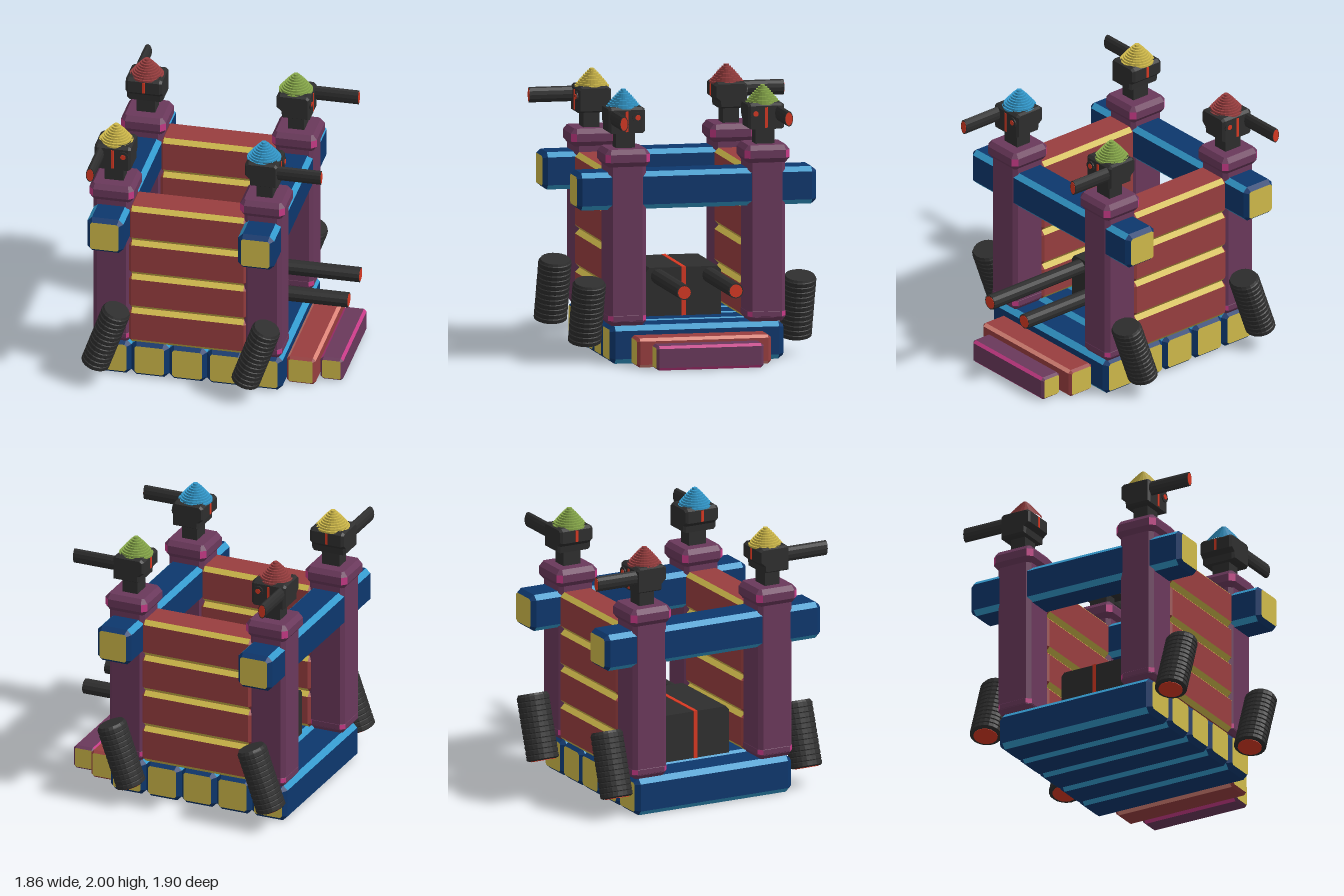
import * as THREE from 'three';

const colour = (name, hex) => {
  const m = new THREE.MeshStandardMaterial({ color: hex });
  m.name = name;
  m.flatShading = true;
  return m;
};
const yellow = colour('yellow', 0xcfb94a), brick = colour('brick red', 0x983e3f);
const navy = colour('navy blue', 0x0d376d), sky = colour('sky blue', 0x3399cc);
const purple = colour('purple', 0x6a385b), pink = colour('pink', 0xc63a86);
const black = colour('charcoal', 0x2e2e2e), red = colour('bright red', 0xd63822);
const green = colour('green', 0x87a84a), salmon = colour('salmon', 0xdc8478);

function add(parent, name, geometry, material, x = 0, y = 0, z = 0) {
  const mesh = new THREE.Mesh(geometry, material);
  mesh.name = name;
  mesh.position.set(x, y, z);
  parent.add(mesh);
  return mesh;
}

// Bevelled beam along z; material groups: 0 faces, 1 long bevels, 2 ends
function beamGeometry(width, height, length, c) {
  const ring = (z, inset) => {
    const w = width / 2 - inset, h = height / 2 - inset, k = inset ? c * 0.4 : c;
    return [[w, -h + k], [w, h - k], [w - k, h], [-w + k, h], [-w, h - k], [-w, -h + k], [-w + k, -h], [w - k, -h]]
      .map(([x, y]) => [x, y, z]);
  };
  const e = length / 2, inset = c * 0.8;
  const rings = [ring(-e, inset), ring(-e + c, 0), ring(e - c, 0), ring(e, inset)];
  const faces = [[], [], []];
  for (let k = 0; k < 3; k++) {
    for (let i = 0; i < 8; i++) {
      const j = (i + 1) % 8, a = rings[k], b = rings[k + 1];
      faces[k === 1 && i % 2 ? 1 : 0].push(a[i], a[j], b[j], a[i], b[j], b[i]);
    }
  }
  for (let i = 1; i < 7; i++) {
    faces[2].push(rings[3][0], rings[3][i], rings[3][i + 1], rings[0][0], rings[0][i + 1], rings[0][i]);
  }
  const geometry = new THREE.BufferGeometry();
  geometry.setAttribute('position', new THREE.Float32BufferAttribute(faces.flat(2), 3));
  let start = 0;
  faces.forEach((f, i) => {
    geometry.addGroup(start, f.length, i);
    start += f.length;
  });
  geometry.computeVertexNormals();
  return geometry;
}

function beam(parent, name, axis, size, position, c, materials) {
  const g = beamGeometry(...size, c);
  if (axis === 'x') g.rotateY(Math.PI / 2);
  if (axis === 'y') g.rotateX(-Math.PI / 2);
  return add(parent, name, g, materials, ...position);
}

// Ribbed gun barrel along +x with a red muzzle plate
function barrel(parent, x0, x1, y, z, ry, rz) {
  const shaft = new THREE.CylinderGeometry(1, 1, x1 - x0, 12).rotateZ(-Math.PI / 2).scale(1, ry, rz);
  add(parent, 'barrel', shaft, black, (x0 + x1) / 2, y, z);
  const tip = new THREE.CylinderGeometry(0.85, 0.85, 0.004, 16).rotateZ(-Math.PI / 2).scale(1, ry, rz);
  add(parent, 'muzzle', tip, red, x1, y, z);
}

// Domed turret facing +x, its barrel on the given side
function turret(domeMaterial, side) {
  const g = new THREE.Group();
  g.name = 'turret';
  add(g, 'neck', new THREE.BoxGeometry(0.12, 0.16, 0.14), black, 0, 1.63, 0);
  const profile = new THREE.Shape([[-0.095, 1.69], [0.11, 1.69], [0.11, 1.86], [0.09, 1.88], [-0.11, 1.88],
    [-0.135, 1.86], [-0.135, 1.77], [-0.1, 1.74]].map(([x, y]) => new THREE.Vector2(x, y)));
  const head = new THREE.ExtrudeGeometry(profile, { depth: 0.23, bevelThickness: 0.02, bevelSize: 0.012, bevelOffset: -0.012, bevelSegments: 1 });
  add(g, 'head', head.translate(0, 0, -0.115), black);
  add(g, 'frontStripe', new THREE.BoxGeometry(0.006, 0.15, 0.02), red, 0.111, 1.775, 0);
  add(g, 'backStripe', new THREE.BoxGeometry(0.006, 0.085, 0.02), red, -0.136, 1.815, 0);
  // Sensor eye beside the barrel
  add(g, 'eyeRim', new THREE.CylinderGeometry(0.04, 0.04, 0.016, 14).rotateZ(-Math.PI / 2), black, 0.11, 1.805, -side * 0.08);
  add(g, 'eye', new THREE.CylinderGeometry(0.02, 0.02, 0.006, 12).rotateZ(-Math.PI / 2), red, 0.119, 1.805, -side * 0.08);
  barrel(g, 0, 0.43, 1.805, side * 0.095, 0.057, 0.031);
  // Dome built up in small steps
  const points = [new THREE.Vector2(0.125, 1.865)];
  const steps = 9, rise = 0.135 / steps;
  for (let i = 0; i < steps; i++) {
    const r = 0.125 * Math.pow(1 - i / steps, 0.85), y = 1.865 + i * rise;
    points.push(new THREE.Vector2(r, y), new THREE.Vector2(r, y + rise));
  }
  points.push(new THREE.Vector2(0, 2));
  add(g, 'dome', new THREE.LatheGeometry(points, 24), domeMaterial, -0.018, 0, 0);
  return g;
}

// Ribbed thruster pod leaning to +x, glowing at the bottom
function thruster(x, y, z) {
  const g = new THREE.Group();
  g.name = 'thruster';
  const points = [new THREE.Vector2(0, -0.245), new THREE.Vector2(0.09, -0.245)];
  const ribs = 12;
  for (let i = 0; i < ribs; i++) {
    const t = -0.235 + (i * 0.47) / ribs;
    points.push(new THREE.Vector2(0.107, t), new THREE.Vector2(0.107, t + 0.027), new THREE.Vector2(0.102, t + 0.033));
  }
  points.push(new THREE.Vector2(0.095, 0.245), new THREE.Vector2(0, 0.245));
  add(g, 'pod', new THREE.LatheGeometry(points, 20), black);
  add(g, 'nozzle', new THREE.CylinderGeometry(0.08, 0.08, 0.006, 20), red, 0, -0.246, 0);
  g.scale.z = 1.15;
  g.rotation.z = -0.34;
  g.position.set(x, y, z);
  return g;
}

export function createModel() {
  const model = new THREE.Group();
  model.name = 'towerFort';
  const blueBeam = [navy, sky, yellow], redBeam = [brick, yellow, yellow];
  const xs = [-0.735, 0.39], zs = [0.51, -0.53];

  // Floor
  for (let i = 0; i < 5; i++) {
    beam(model, 'floorBeam', 'z', [0.282, 0.28, 1.295], [-0.738 + i * 0.282, 0.14, -0.008], 0.037, blueBeam);
  }
  // Steps on the left side
  beam(model, 'upperStep', 'z', [0.215, 0.215, 1.0], [0.64, 0.1075, -0.01], 0.022, [brick, salmon, yellow]);
  beam(model, 'lowerStep', 'z', [0.17, 0.18, 0.8], [0.845, 0.09, -0.015], 0.02, [purple, pink, yellow]);

  // Front and back plank walls
  for (const z of zs) {
    for (let i = 0; i < 4; i++) {
      beam(model, 'wallPlank', 'x', [0.28, 0.281, 0.9], [-0.17, 0.42 + i * 0.282, z], 0.032, redBeam);
    }
  }

  // Posts with collars, and the thrusters outside them
  for (const x of xs) {
    for (const z of zs) {
      beam(model, 'post', 'y', [0.28, 0.28, 1.2], [x, 0.88, z], 0.03, [purple, purple, purple]);
      beam(model, 'postFoot', 'y', [0.284, 0.284, 0.1], [x, 0.335, z], 0.032, [purple, pink, purple]);
      beam(model, 'postCap', 'y', [0.335, 0.335, 0.13], [x, 1.512, z], 0.036, [purple, pink, purple]);
      model.add(thruster(x < 0 ? -0.747 : 0.373, x < 0 ? 0.387 : 0.372, z > 0 ? 0.78 : -0.79));
    }
    beam(model, 'topBeam', 'z', [0.27, 0.275, 1.785], [x, 1.27, -0.008], 0.035, blueBeam);
  }

  // Turrets: dome colour, post, heading, barrel side
  for (const [dome, x, z, heading, side] of [
    [yellow, xs[0], zs[0], -Math.PI / 2, 1], [brick, xs[0], zs[1], Math.PI / 2, -1],
    [sky, xs[1], zs[0], 0, 1], [green, xs[1], zs[1], 0, -1]]) {
    const t = turret(dome, side);
    t.rotation.y = heading;
    t.position.set(x, 0, z);
    model.add(t);
  }

  // Twin cannon on the floor
  const cannon = new THREE.Group();
  cannon.name = 'twinCannon';
  const body = new THREE.Shape([[-0.28, 0.28], [0.28, 0.28], [0.28, 0.605], [0.255, 0.635], [-0.255, 0.635], [-0.28, 0.605]]
    .map(([x, y]) => new THREE.Vector2(x, y)));
  add(cannon, 'cannonBody', new THREE.ExtrudeGeometry(body, { depth: 0.66, bevelEnabled: false }).rotateY(Math.PI / 2), black, -0.59, 0, -0.01);
  add(cannon, 'cannonStripe', new THREE.BoxGeometry(0.67, 0.36, 0.03), red, -0.26, 0.459, -0.01);
  for (const z of [0.18, -0.205]) barrel(cannon, 0.06, 0.928, 0.57, z, 0.056, 0.056);
  model.add(cannon);
  return model;
}
